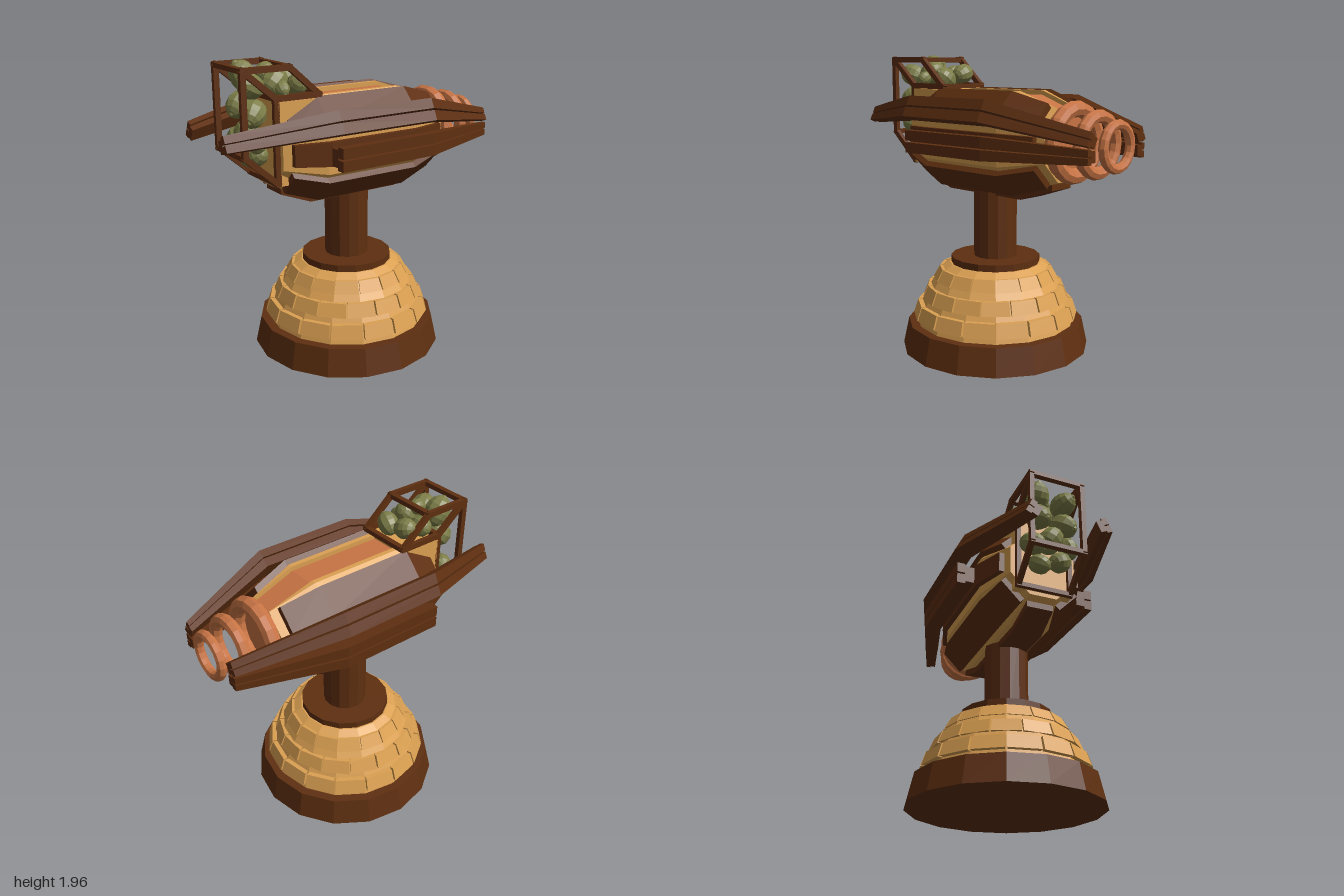
import * as THREE from 'three';

const mat = (name, color) => {
  const m = new THREE.MeshStandardMaterial({ color, flatShading: true });
  m.name = name;
  return m;
};

// Closed solid through cross-sections of equal point count; turned outward by its volume
function loft(sections) {
  const tris = [];
  const n = sections[0].length;
  for (let s = 0; s < sections.length - 1; s++) {
    for (let i = 0; i < n; i++) {
      const j = (i + 1) % n;
      const [a, b, c, d] = [sections[s][i], sections[s][j], sections[s + 1][j], sections[s + 1][i]];
      tris.push([a, b, c], [a, c, d]);
    }
  }
  [sections[0], sections[sections.length - 1]].forEach((sec, end) => {
    const mid = sec.reduce((m, p) => m.add(p), new THREE.Vector3()).divideScalar(n);
    for (let i = 0; i < n; i++) {
      const j = (i + 1) % n;
      tris.push(end ? [sec[i], sec[j], mid] : [sec[j], sec[i], mid]);
    }
  });
  const o = sections[0][0];
  let volume = 0;
  for (const [a, b, c] of tris) {
    volume += a.clone().sub(o).dot(b.clone().sub(o).cross(c.clone().sub(o)));
  }
  const pts = tris.flatMap(([a, b, c]) => (volume < 0 ? [a, c, b] : [a, b, c]));
  const geo = new THREE.BufferGeometry().setFromPoints(pts);
  geo.computeVertexNormals();
  return geo;
}

const V = (x, y, z) => new THREE.Vector3(x, y, z);

export function createModel() {
  const root = new THREE.Group();
  const darkWood = mat('dark wood', 0x5e2f10);
  const paleWood = mat('pale wood', 0xdba052);
  const copper = mat('copper', 0xc87444);
  const green = mat('green fruit', 0x7d7e48);

  const add = (name, geo, material, x = 0, y = 0, z = 0, parent = root) => {
    const mesh = new THREE.Mesh(geo, material);
    mesh.name = name;
    mesh.position.set(x, y, z);
    parent.add(mesh);
    return mesh;
  };
  const group = (name) => {
    const g = new THREE.Group();
    g.name = name;
    root.add(g);
    return g;
  };

  // Pedestal
  const cx = -0.012;
  add('pedestalFoot', new THREE.CylinderGeometry(0.595, 0.635, 0.18, 16), darkWood, cx, 0.09);
  const core = [[0.54, 0.17], [0.5, 0.31], [0.44, 0.43], [0.36, 0.55], [0.31, 0.58], [0, 0.58]];
  add('pedestalCore', new THREE.LatheGeometry(core.map(([r, y]) => new THREE.Vector2(r, y)), 16), paleWood, cx);
  add('pedestalCap', new THREE.CylinderGeometry(0.3, 0.3, 0.05, 16), darkWood, cx, 0.6);
  add('column', new THREE.CylinderGeometry(0.145, 0.145, 0.62, 14), darkWood, cx, 0.88);

  // Staggered rows of sloping blocks: y0, r0, y1, r1
  const blocks = group('pedestalBlocks');
  blocks.position.x = cx;
  [[0.22, 0.56, 0.31, 0.53], [0.345, 0.498, 0.43, 0.463], [0.475, 0.42, 0.55, 0.378]].forEach(([y0, r0, y1, r1], row) => {
    for (let i = 0; i < 16; i++) {
      const a0 = (i + (row % 2) * 0.5) * Math.PI / 8 + 0.012;
      const a1 = a0 + Math.PI / 8 - 0.024;
      const ring = (y, r) => [[a0, r], [a1, r], [a1, r - 0.07], [a0, r - 0.07]]
        .map(([a, q]) => V(Math.sin(a) * q, y, Math.cos(a) * q));
      add('block', loft([ring(y0, r0), ring(y1, r1)]), paleWood, 0, 0, 0, blocks);
    }
  });

  // Eight-sided barrel, tapering at both ends
  const CY = 1.415, MID = 0.32;
  const apothem = (x) => {
    if (x < -0.35) return MID - 0.1 * (-0.35 - x) / 0.26;
    return x > 0.31 ? MID - 0.1 * (x - 0.31) / 0.3 : MID;
  };
  // Point on facet k (0 = top): a is the distance from the axis, w runs across
  const onFacet = (k, x, a, w) => {
    const t = k * Math.PI / 4;
    return V(x, CY + a * Math.cos(t) - w * Math.sin(t), a * Math.sin(t) + w * Math.cos(t));
  };
  const bodySection = (x) => {
    const a = apothem(x);
    const h = a * Math.tan(Math.PI / 8);
    const w = 0.1 * Math.min(1, a / 0.25);
    const pts = [[-w, a], [-w, a - 0.035], [w, a - 0.035], [w, a]].map(([q, b]) => onFacet(0, x, b, q));
    for (let k = 0; k < 7; k++) pts.push(onFacet(k, x, a, h));
    pts.push(onFacet(7, x, a, h));
    return pts;
  };
  add('barrel', loft([-0.61, -0.35, 0.31, 0.61].map(bodySection)), paleWood);
  add('rearBlock', new THREE.BoxGeometry(0.28, 0.51, 0.38), paleWood, -0.475, 1.475);

  // Plates lying along the barrel's facets
  const plate = (name, k, half, low, high, xs, material) => add(name, loft(xs.map((x) => {
    const a = apothem(x);
    const w = half * Math.min(1, a / 0.27);
    return [[-w, low], [w, low], [w, high], [-w, high]].map(([q, d]) => onFacet(k, x, a + d, q));
  })), material);
  plate('copperChannel', 0, 0.099, -0.036, -0.028, [-0.34, 0.31, 0.608], copper);
  const span = [-0.56, -0.35, 0.31, 0.56];
  [1, 3, 4, 5, 7].forEach((k) => plate('barrelPanel', k, 0.1, -0.01, 0.04, span, darkWood));
  [2, 6].forEach((k) => plate('sidePanel', k, 0.075, -0.01, 0.035, span, darkWood));

  // Muzzle disc and shrinking rings
  add('muzzleDisc', new THREE.CylinderGeometry(0.2, 0.2, 0.02, 16), copper, 0.61, CY + 0.01).rotation.z = Math.PI / 2;
  [[0.66, 0.255, 0.05], [0.83, 0.21, 0.04], [0.967, 0.16, 0.03]].forEach(([x, r, tube]) => {
    add('muzzleRing', new THREE.TorusGeometry(r - tube, tube, 8, 18), copper, x, 1.435).rotation.y = Math.PI / 2;
  });

  // Bent planks along each side; path points are x, y, z, size
  const planks = (side, tilt, path) => {
    const g = group(side > 0 ? 'leftPlanks' : 'rightPlanks');
    const strip = (w0, w1, n0, n1) => add('plank', loft(path.map(([x, y, z, s]) =>
      [[w0, n0], [w1, n0], [w1, n1], [w0, n1]].map(([w, n]) => V(
        x,
        y + s * (w * Math.cos(tilt) + n * Math.sin(tilt)),
        side * (z + s * (n * Math.cos(tilt) - w * Math.sin(tilt))),
      )))), darkWood, 0, 0, 0, g);
    strip(-0.072, -0.006, 0, 0.055);
    strip(0.006, 0.072, 0, 0.055);
    strip(-0.055, 0.055, -0.06, 0.002);
  };
  for (const side of [1, -1]) {
    planks(side, 0.45, [[-1, 1.53, 0.23, 0.7], [-0.36, 1.61, 0.42, 1], [0.33, 1.61, 0.42, 1], [0.97, 1.485, 0.235, 0.6]]);
    planks(side, 0, [[-0.36, 1.405, 0.425, 1], [0.33, 1.41, 0.425, 1], [0.97, 1.395, 0.24, 0.6]]);
  }

  // Fruit cage wrapped over the rear upper corner
  const cage = group('cage');
  const bar = (a, b) => {
    const d = b.clone().sub(a);
    const mid = a.clone().add(b).multiplyScalar(0.5);
    const m = add('cageBar', new THREE.BoxGeometry(0.036, d.length() + 0.03, 0.03), darkWood, mid.x, mid.y, mid.z, cage);
    m.quaternion.setFromUnitVectors(V(0, 1, 0), d.normalize());
  };
  const outline = [[-0.835, 1.925], [-0.53, 1.925], [-0.33, 1.75], [-0.625, 1.75], [-0.625, 1.235], [-0.835, 1.42]];
  const corner = (i, s) => V(outline[i % 6][0], outline[i % 6][1], s * 0.175);
  for (let i = 0; i < 6; i++) {
    bar(corner(i, 1), corner(i, -1));
    for (const s of [1, -1]) bar(corner(i, s), corner(i + 1, s));
  }
  for (const s of [1, -1]) bar(corner(0, s), corner(3, s));

  // Fruit: x, y, z, radius
  const fruit = group('fruit');
  [
    [-0.7, 1.86, -0.08, 0.095], [-0.57, 1.83, 0.06, 0.09], [-0.42, 1.83, -0.09, 0.075],
    [-0.42, 1.8, 0.07, 0.075], [-0.6, 1.89, 0, 0.06], [-0.74, 1.82, 0.09, 0.085],
    [-0.53, 1.82, -0.11, 0.075], [-0.56, 1.8, 0.14, 0.05], [-0.73, 1.69, -0.08, 0.09],
    [-0.73, 1.66, 0.09, 0.09], [-0.73, 1.53, 0, 0.09], [-0.73, 1.5, 0.12, 0.07],
    [-0.73, 1.48, -0.12, 0.08], [-0.71, 1.4, 0.07, 0.075], [-0.69, 1.37, -0.06, 0.07],
  ].forEach(([x, y, z, r], i) => {
    const f = new THREE.Group();
    f.name = 'fruitPiece';
    f.position.set(x, y, z);
    f.rotation.set(i * 1.3, i * 0.7, 0.6 + i * 0.9);
    fruit.add(f);
    add('fruitBody', new THREE.SphereGeometry(r * 0.9, 10, 8), green, 0, 0, 0, f).scale.y = 1.2;
    add('fruitTip', new THREE.CylinderGeometry(r * 0.12, r * 0.25, r * 0.12, 6), green, 0, r * 1.08, 0, f);
  });
  return root;
}
